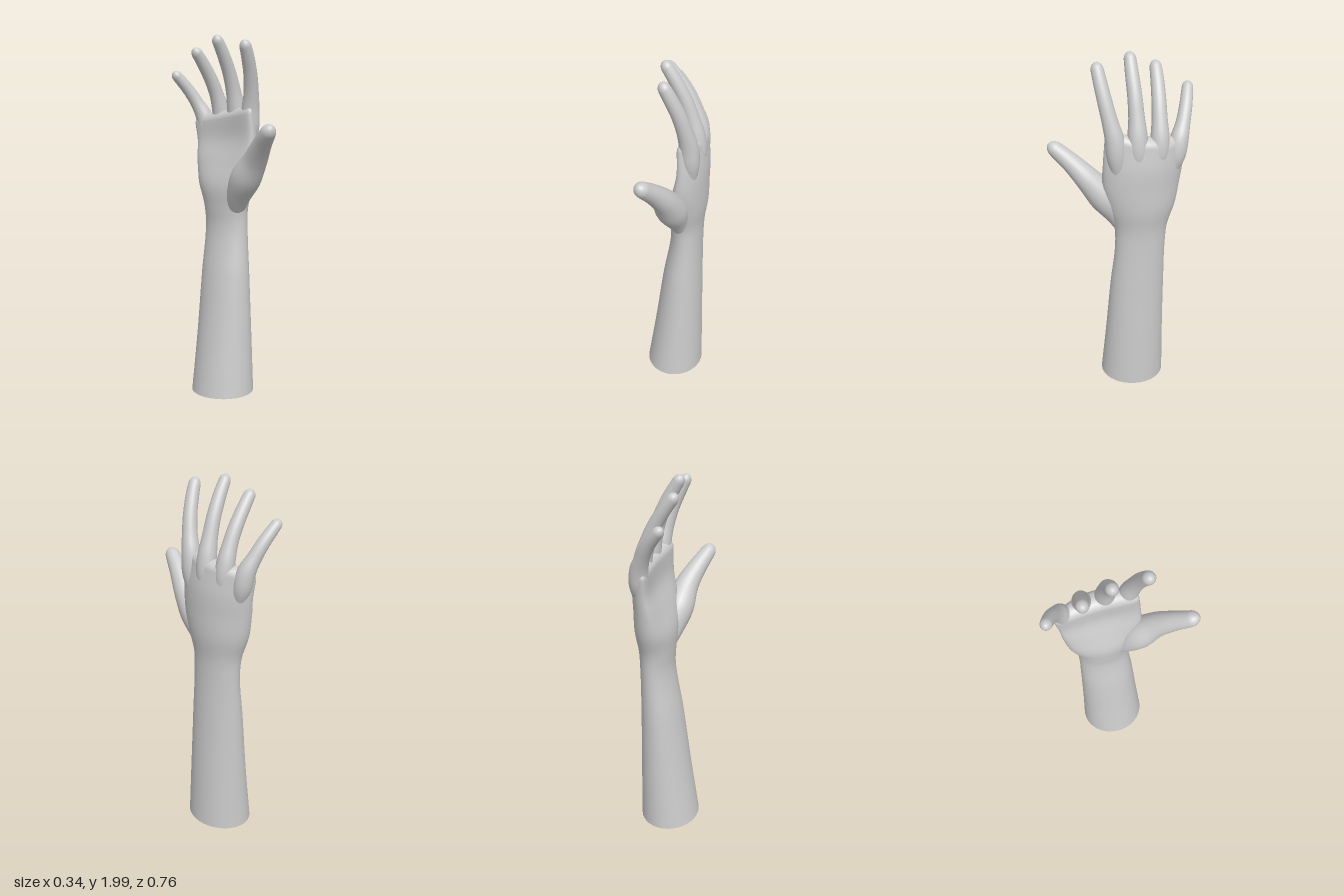
import * as THREE from 'three';

const material = new THREE.MeshStandardMaterial({ color: 0xcccccc, side: THREE.DoubleSide });

// Smooth spline through rows of numbers, returned as a function of t
function spline(times, rows) {
  const curve = new THREE.CubicInterpolant(times, rows.flat(), rows[0].length);
  return (t) => Array.from(curve.evaluate(t));
}

// Skin a list of closed rings, sharing vertices so the shading is smooth
function skin(name, rings) {
  const n = rings[0].length;
  const index = [];
  for (let j = 0; j < rings.length - 1; j++) {
    for (let i = 0; i < n; i++) {
      const a = j * n + i, b = j * n + (i + 1) % n;
      index.push(a, a + n, b, b, a + n, b + n);
    }
  }
  const geometry = new THREE.BufferGeometry();
  const points = rings.flat().flatMap((p) => [p.x, p.y, p.z]);
  geometry.setAttribute('position', new THREE.Float32BufferAttribute(points, 3));
  geometry.setIndex(index);
  geometry.computeVertexNormals();
  const mesh = new THREE.Mesh(geometry, material);
  mesh.name = name;
  return mesh;
}

// Forearm, wrist and palm: level sections, slightly tilted and cupped
function forearmAndPalm() {
  // y, tilt, centre x, centre z, half depth, half width, cupping
  const sections = [
    [0.02, 0.05, -0.005, -0.055, 0.165, 0.186, 0],
    [0.35, 0.03, 0.017, -0.062, 0.138, 0.168, 0],
    [0.70, 0.01, 0.037, -0.071, 0.111, 0.152, 0],
    [0.98, 0, 0.057, -0.081, 0.088, 0.139, 0],
    [1.08, 0, 0.057, -0.084, 0.092, 0.146, 0.1],
    [1.20, 0, 0.064, -0.086, 0.101, 0.182, 0.4],
    [1.33, 0.03, 0.085, -0.082, 0.083, 0.206, 0.8],
    [1.45, 0.08, 0.104, -0.090, 0.064, 0.211, 1.0],
    [1.56, 0.15, 0.098, -0.102, 0.056, 0.212, 1.0],
  ];
  const at = spline(sections.map((s) => s[0]), sections);
  const sides = 40;
  const ring = ([y, tilt, cx, cz, rx, rz, cup], round) => {
    const points = [];
    for (let i = 0; i < sides; i++) {
      const a = i / sides * Math.PI * 2;
      const c = Math.cos(a), dz = rz * Math.sin(a);
      const x = rx * Math.sign(c) * Math.abs(c) ** round;
      points.push(new THREE.Vector3(cx + x - cup * dz * dz, y + tilt * dz, cz + dz));
    }
    return points;
  };
  const rings = [];
  for (let j = 0; j <= 60; j++) {
    const y = THREE.MathUtils.lerp(0.02, 1.56, j / 60);
    rings.push(ring(at(y), 1 - 0.2 * THREE.MathUtils.smoothstep(y, 1.1, 1.4)));
  }
  // Rounded closing between the finger roots
  for (let j = 1; j <= 8; j++) {
    const a = j / 8 * Math.PI / 2, s = at(1.56);
    s[0] += 0.05 * Math.sin(a);
    s[4] *= Math.cos(a);
    s[5] *= 0.82 + 0.18 * Math.cos(a);
    rings.push(ring(s, 0.8));
  }
  return skin('forearmAndPalm', rings);
}

// A finger: round sections (x, y, z, radius) from a buried root to a domed tip
function digit(name, sections) {
  const pos = (s) => new THREE.Vector3(s[0], s[1], s[2]);
  const times = [0];
  for (let i = 1; i < sections.length; i++) {
    times.push(times[i - 1] + pos(sections[i]).distanceTo(pos(sections[i - 1])));
  }
  const at = spline(times, sections);
  const end = times.at(-1);
  const dome = sections.at(-1)[3] * 1.25;
  const stations = [];
  for (let j = 0; j <= 30; j++) stations.push([(end - dome) * j / 30, 1]);
  for (let j = 1; j <= 8; j++) {
    const a = j / 8 * Math.PI / 2;
    stations.push([end - dome + dome * Math.sin(a), Math.cos(a)]);
  }
  const sides = 24;
  const rings = stations.map(([t, scale]) => {
    const s = at(t);
    const tangent = pos(at(Math.min(t + 0.004, end))).sub(pos(at(Math.max(t - 0.004, 0)))).normalize();
    const v = new THREE.Vector3(0, 0, 1).addScaledVector(tangent, -tangent.z).normalize();
    const u = new THREE.Vector3().crossVectors(tangent, v);
    return Array.from({ length: sides }, (_, i) => {
      const a = i / sides * Math.PI * 2;
      return pos(s).addScaledVector(u, s[3] * scale * Math.cos(a)).addScaledVector(v, s[3] * scale * Math.sin(a));
    });
  });
  return skin(name, rings);
}

export function createModel() {
  const group = new THREE.Group();
  group.name = 'raisedHand';
  const digits = {
    indexFinger: [
      [0.094, 1.42, 0.050, 0.035], [0.094, 1.52, 0.060, 0.050], [0.089, 1.61, 0.067, 0.049],
      [0.073, 1.70, 0.086, 0.041], [0.045, 1.80, 0.105, 0.037], [0.003, 1.90, 0.121, 0.034], [-0.033, 1.972, 0.130, 0.030],
    ],
    middleFinger: [
      [0.108, 1.42, -0.050, 0.035], [0.108, 1.52, -0.049, 0.052], [0.100, 1.61, -0.048, 0.051],
      [0.077, 1.71, -0.048, 0.041], [0.043, 1.81, -0.047, 0.037], [-0.008, 1.91, -0.045, 0.034], [-0.064, 2.0, -0.045, 0.029],
    ],
    ringFinger: [
      [0.106, 1.42, -0.150, 0.035], [0.106, 1.52, -0.160, 0.050], [0.098, 1.60, -0.165, 0.048],
      [0.070, 1.69, -0.169, 0.040], [0.033, 1.77, -0.174, 0.037], [-0.025, 1.86, -0.180, 0.034], [-0.087, 1.938, -0.184, 0.029],
    ],
    littleFinger: [
      [0.080, 1.40, -0.235, 0.035], [0.084, 1.49, -0.258, 0.050], [0.075, 1.57, -0.275, 0.048],
      [0.047, 1.64, -0.300, 0.038], [0.008, 1.71, -0.324, 0.034], [-0.035, 1.765, -0.343, 0.031], [-0.080, 1.815, -0.360, 0.027],
    ],
    thumb: [
      [0.050, 1.05, -0.005, 0.045], [0.028, 1.14, 0.035, 0.064], [0.010, 1.25, 0.105, 0.083],
      [-0.008, 1.355, 0.188, 0.066], [-0.045, 1.445, 0.268, 0.051], [-0.076, 1.505, 0.332, 0.042], [-0.092, 1.543, 0.372, 0.035],
    ],
  };
  group.add(forearmAndPalm());
  for (const [name, sections] of Object.entries(digits)) group.add(digit(name, sections));
  return group;
}
